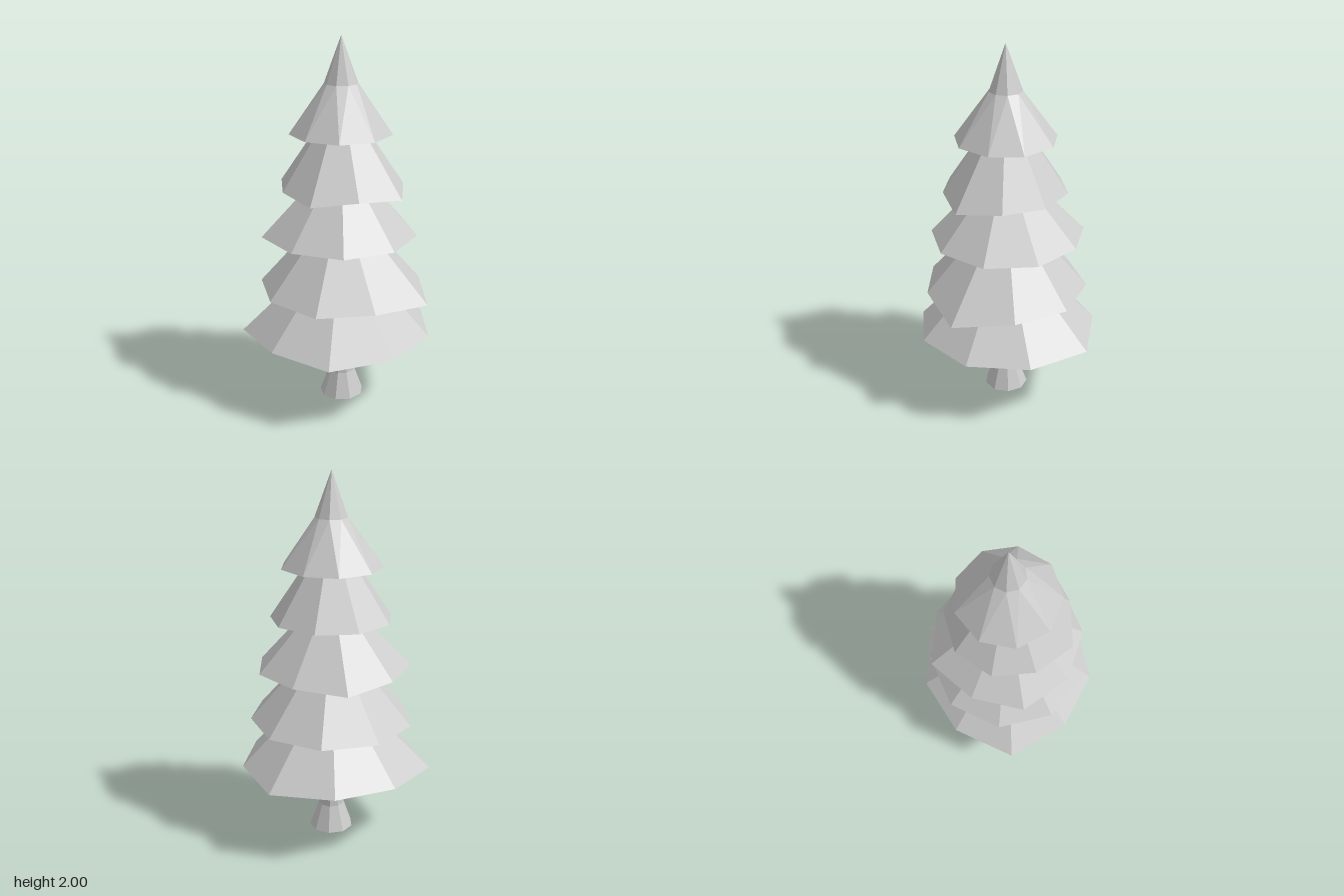
import * as THREE from 'three';

const SIDES = 9;
const CENTRE_Z = 0.015;
const material = new THREE.MeshStandardMaterial({ color: 0xcccccc, flatShading: true, side: THREE.DoubleSide });

// Regular ring around the trunk axis, with its first corner at the back
const ring = (radius, y) => Array.from({ length: SIDES }, (_, i) => {
  const a = -Math.PI / 2 + (i / SIDES) * Math.PI * 2;
  return [radius * Math.cos(a), y, CENTRE_Z + radius * Math.sin(a)];
});

// Joins rings from bottom to top with flat facets; a zero radius ring makes a point
function loft(rings) {
  const positions = [];
  for (let r = 0; r < rings.length - 1; r++) {
    const low = rings[r], high = rings[r + 1];
    for (let i = 0; i < SIDES; i++) {
      const j = (i + 1) % SIDES;
      const corners = [low[i], high[i], low[j], high[i], high[j], low[j]];
      for (let t = 0; t < 6; t += 3) {
        const tri = corners.slice(t, t + 3).map((p) => new THREE.Vector3(...p));
        if (new THREE.Triangle(...tri).getArea() < 1e-7) continue;
        tri.forEach((p) => positions.push(p.x, p.y, p.z));
      }
    }
  }
  const geometry = new THREE.BufferGeometry();
  geometry.setAttribute('position', new THREE.Float32BufferAttribute(positions, 3));
  geometry.computeVertexNormals();
  return geometry;
}

// Uneven rims of the branch tiers: x, z and an optional height offset per corner
const tiers = [
  { name: 'bottomTier', y: 0.41, apex: 0.93, hollow: 0.53, rim: [
    [-0.085, -0.505, -0.01], [0.255, -0.41], [0.467, -0.145], [0.46, 0.195], [0.24, 0.45, -0.025],
    [-0.095, 0.5], [-0.425, 0.355, -0.02], [-0.497, 0.005], [-0.375, -0.31]] },
  { name: 'lowerTier', y: 0.66, apex: 1.17, hollow: 0.77, rim: [
    [0, -0.427], [0.283, -0.323], [0.497, -0.073, -0.03], [0.38, 0.24], [0.155, 0.443, -0.005],
    [-0.155, 0.43], [-0.385, 0.235], [-0.438, -0.06], [-0.286, -0.323]] },
  { name: 'middleTier', y: 0.96, apex: 1.41, hollow: 1.06, rim: [
    [-0.126, -0.37], [0.15, -0.36], [0.358, -0.174], [0.395, 0.1], [0.25, 0.335],
    [-0.015, 0.42], [-0.29, 0.33], [-0.4, 0.07], [-0.372, -0.22, -0.015]] },
  { name: 'upperTier', y: 1.225, apex: 1.72, hollow: 1.31, rim: [
    [0.048, -0.31, 0.005], [0.248, -0.2], [0.372, 0.005, -0.02], [0.26, 0.22], [0.072, 0.372, -0.02],
    [-0.158, 0.305], [-0.307, 0.136, 0.005], [-0.313, -0.088, 0.005], [-0.176, -0.265, 0.005]] },
  { name: 'topTier', y: 1.505, apex: 2, hollow: 1.575, shoulder: ring(0.088, 1.76), rim: [
    [-0.072, -0.246], [0.118, -0.227], [0.243, -0.1], [0.26, 0.088], [0.152, 0.238],
    [-0.027, 0.283], [-0.193, 0.206], [-0.27, 0.04], [-0.222, -0.142]] },
];

export function createModel() {
  const tree = new THREE.Group();
  tree.name = 'pineTree';

  const add = (name, rings) => {
    const mesh = new THREE.Mesh(loft(rings), material);
    mesh.name = name;
    tree.add(mesh);
  };

  // Trunk flaring out at the foot
  add('trunk', [ring(0.12, 0), ring(0.071, 0.14), ring(0.057, 0.4), ring(0.055, 0.54)]);

  // Branch tiers: shallow hollow underside, uneven rim, then up to a point
  for (const { name, y, apex, hollow, shoulder, rim } of tiers) {
    const rimRing = rim.map(([x, z, dy = 0]) => [x, y + dy, z]);
    const rings = [ring(0, hollow), rimRing];
    if (shoulder) rings.push(shoulder);
    rings.push(ring(0, apex));
    add(name, rings);
  }
  return tree;
}
